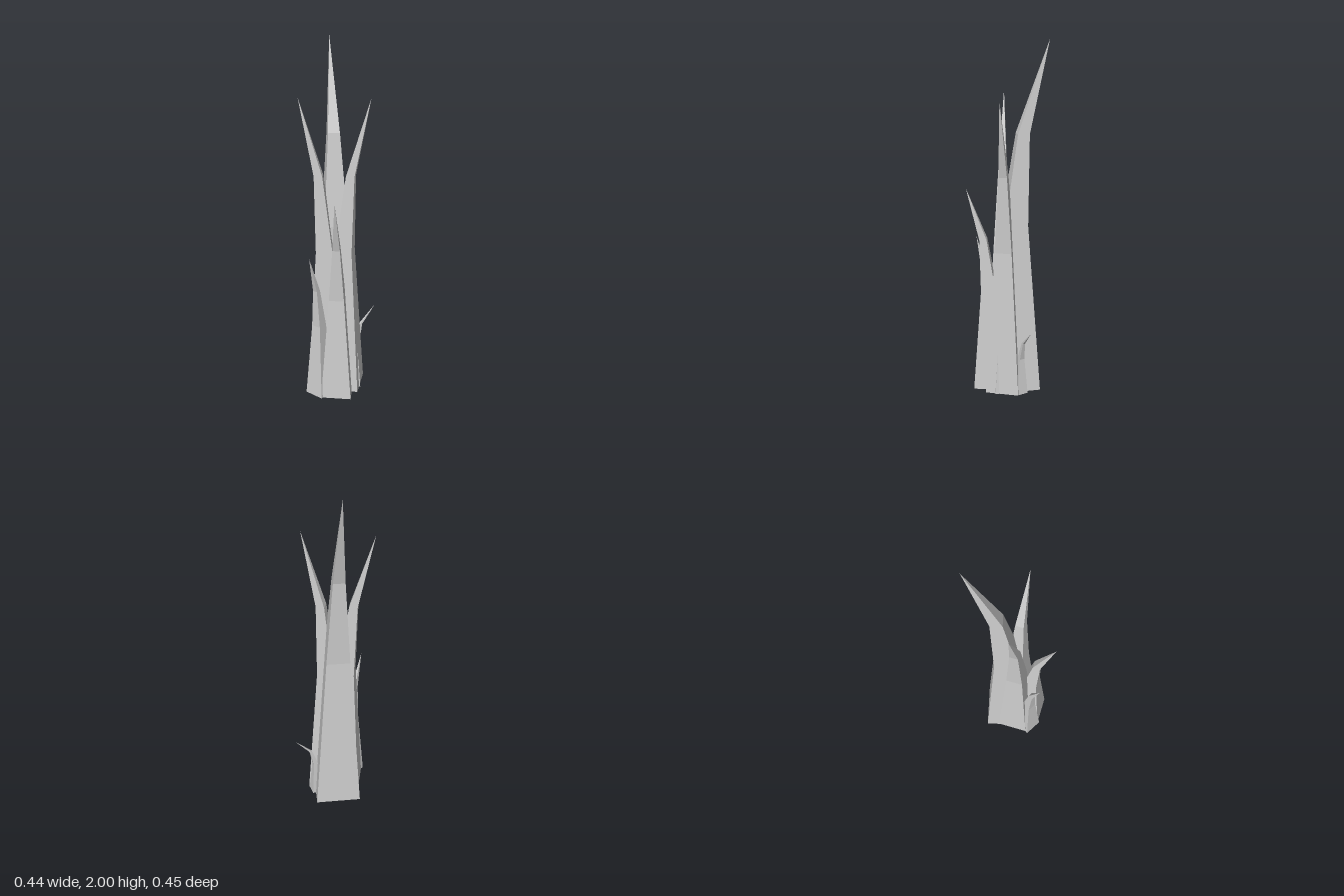
import * as THREE from 'three';

const material = new THREE.MeshStandardMaterial({ color: 0xcccccc, flatShading: true });

// Share of height, width and lean at each of the four levels of a blade
const HEIGHT = [0, 0.505, 0.757, 1];
const WIDTH = [1, 0.49, 0.24, 0];
const LEAN = [0, 0, 0.24, 1];

// Square spike that tapers upright, then bends outward to a point
function blade({ name, base: [x, z], tip: [tx, height, tz], size }) {
  const dx = tx - x, dz = tz - z;
  const reach = Math.hypot(dx, dz);
  const geometry = new THREE.ConeGeometry(1, 1, 4, 3, false, Math.PI / 4);
  const p = geometry.attributes.position;
  for (let i = 0; i < p.count; i++) {
    const level = Math.round((p.getY(i) + 0.5) * 3);
    const scale = level < 3 ? WIDTH[level] * size * Math.SQRT1_2 / (1 - level / 3) : 0;
    p.setXYZ(i, p.getX(i) * scale, HEIGHT[level] * height, p.getZ(i) * scale + LEAN[level] * reach);
  }
  geometry.rotateY(Math.atan2(dx, dz));
  geometry.computeVertexNormals();
  const mesh = new THREE.Mesh(geometry, material);
  mesh.name = name;
  mesh.position.set(x, 0, z);
  return mesh;
}

export function createModel() {
  const group = new THREE.Group();
  group.name = 'spikeCluster';
  const blades = [
    { name: 'tallBackSpike', base: [-0.03, -0.04], tip: [-0.03, 2, -0.223], size: 0.266 },
    { name: 'leftSpike', base: [0.018, 0.023], tip: [0.146, 1.72, 0.07], size: 0.193 },
    { name: 'rightSpike', base: [-0.091, 0.017], tip: [-0.223, 1.72, -0.016], size: 0.19 },
    { name: 'frontSpike', base: [-0.037, 0.105], tip: [-0.067, 1.215, 0.223], size: 0.172 },
    { name: 'smallRightSpike', base: [-0.14, 0.098], tip: [-0.195, 0.885, 0.153], size: 0.113 },
    { name: 'smallLeftSpike', base: [0.101, -0.057], tip: [0.218, 0.445, -0.091], size: 0.06 },
  ];
  for (const b of blades) group.add(blade(b));
  return group;
}
